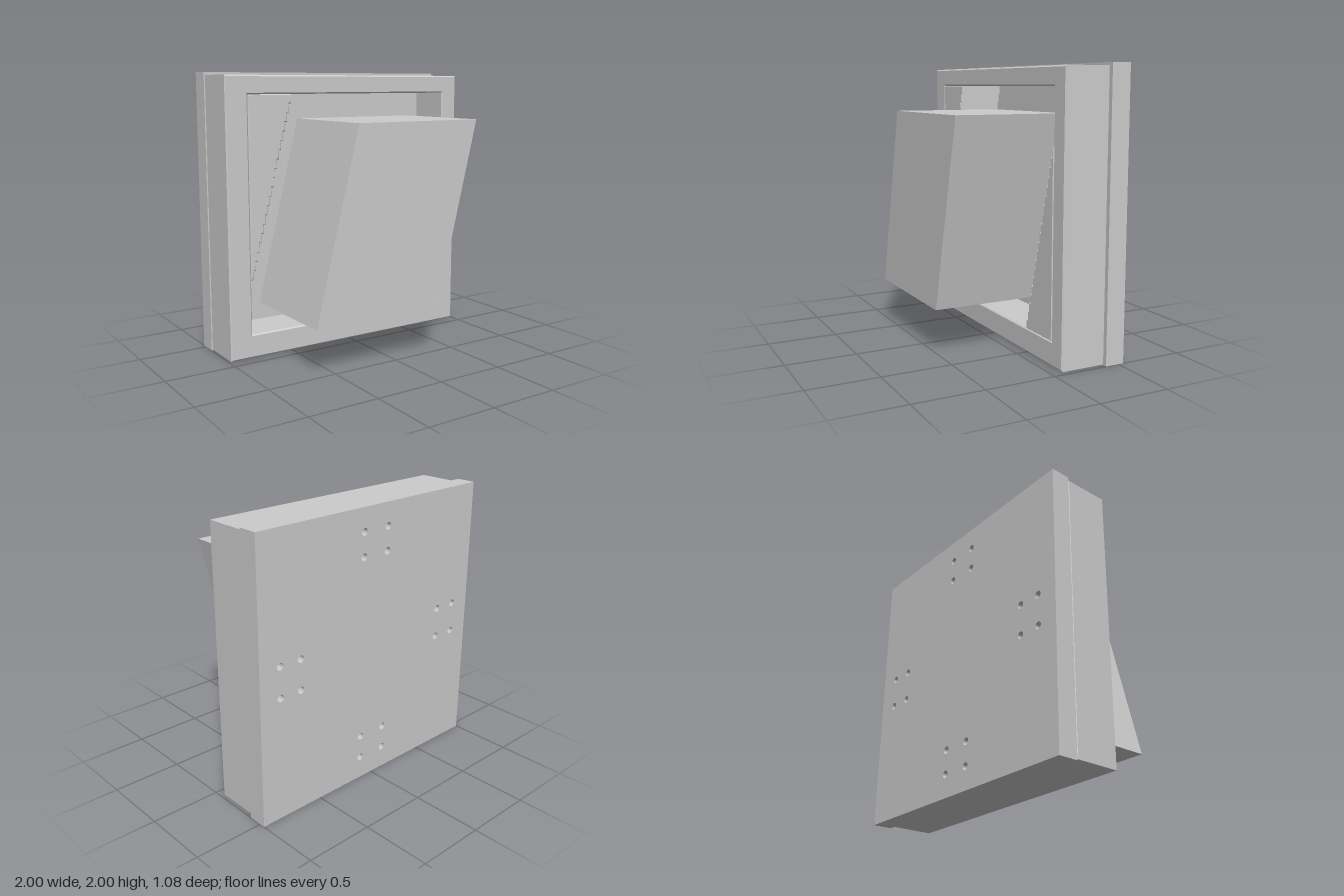
import * as THREE from 'three';

const grey = new THREE.MeshStandardMaterial({ color: 0xcccccc });
const polygon = (pts) => new THREE.Shape(pts.map(([x, y]) => new THREE.Vector2(x, y)));
const rect = (x0, y0, x1, y1) => [[x0, y0], [x1, y0], [x1, y1], [x0, y1]];

// Extrudes a front outline between two depths; the bevel is cut into the outline.
function slab(name, shape, z0, z1, bevel = 0) {
  const geometry = new THREE.ExtrudeGeometry(shape, {
    depth: z1 - z0 - 2 * bevel,
    bevelEnabled: bevel > 0,
    bevelThickness: bevel,
    bevelSize: bevel,
    bevelOffset: -bevel,
    bevelSegments: 1,
    curveSegments: 16,
  });
  geometry.translate(0, 0, z0 + bevel);
  const mesh = new THREE.Mesh(geometry, grey);
  mesh.name = name;
  return mesh;
}

export function createModel() {
  const group = new THREE.Group();

  // Back plate: solid sheet plus a rear layer with four clusters of blind screw holes
  group.add(slab('backPlateCore', polygon(rect(-1, 0, 1, 2)), -0.47, -0.4));
  const rear = polygon(rect(-1, 0, 1, 2));
  const drill = (x, y) => rear.holes.push(new THREE.Path().absarc(x, y, 0.026, 0, Math.PI * 2, true));
  for (const side of [-1, 1]) {
    for (const far of [0.665, 0.835]) {
      for (const across of [-0.11, 0.11]) {
        drill(across, 1 + side * far);
        drill(side * far, 1 + across);
      }
    }
  }
  group.add(slab('backPlateDrilled', rear, -0.54, -0.47));

  // Frame with a square opening and lightly chamfered edges
  const [left, bottom, right, top] = [-0.83, 0.18, 0.845, 1.85];
  const ring = polygon(rect(-0.995, 0.01, 0.98, 1.98));
  ring.holes.push(new THREE.Path(
    rect(left, bottom, right, top).reverse().map(([x, y]) => new THREE.Vector2(x, y))));
  group.add(slab('frame', ring, -0.4, -0.065, 0.01));

  // Stepped corner panels that slant the opening; the second is the first turned half round
  const steps = 20;
  const stair = [[left, top], [left, 0.57]];
  for (let i = 0; i < steps; i++) {
    const x = -0.81 + (0.31 * i) / (steps - 1);
    stair.push([x, 0.57 + (1.28 * i) / steps], [x, 0.57 + (1.28 * (i + 1)) / steps]);
  }
  const turned = stair.map(([x, y]) => [left + right - x, bottom + top - y]);
  group.add(slab('leftSteppedPanel', polygon(stair), -0.4, -0.065, 0.006));
  group.add(slab('rightSteppedPanel', polygon(turned), -0.4, -0.065, 0.006));

  // Slanted block standing proud of the opening
  const block = [[-0.665, 0.34], [0.335, 0.34], [0.665, 1.67], [-0.335, 1.67]];
  group.add(slab('slantedBlock', polygon(block), -0.28, 0.54));

  return group;
}
